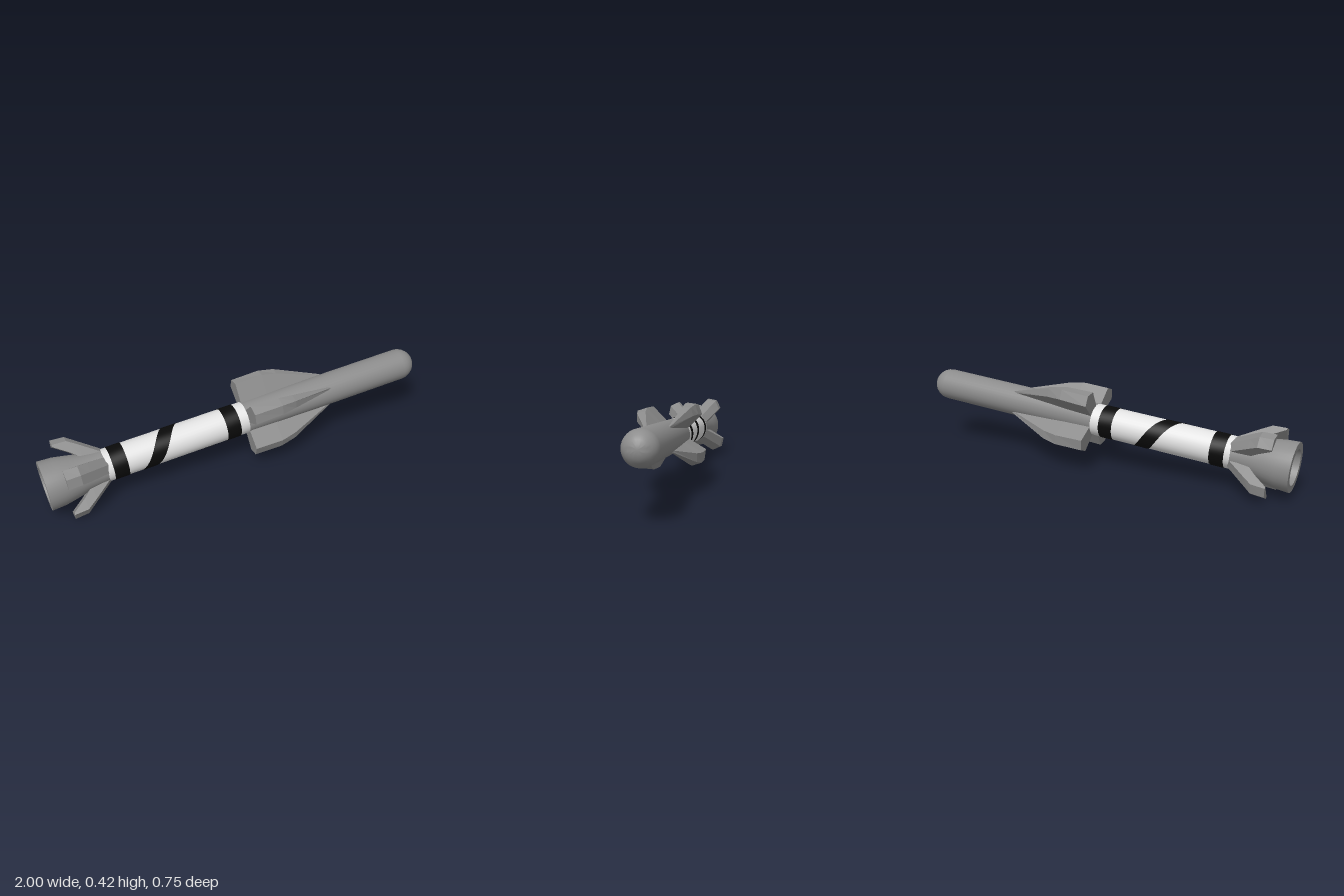
import * as THREE from 'three';
import { toCreasedNormals } from 'three/addons/utils/BufferGeometryUtils.js';
import { ParametricGeometry } from 'three/addons/geometries/ParametricGeometry.js';

const BODY_R = 0.082;

const makeMaterial = (name, color, extra = {}) => {
  const m = new THREE.MeshStandardMaterial({ color, ...extra });
  m.name = name;
  return m;
};

// Turned part along +X; profile is a list of [distance along axis, radius]
function turned(profile, segments = 32) {
  const g = new THREE.LatheGeometry(profile.map(([s, r]) => new THREE.Vector2(r, s)), segments);
  g.rotateZ(-Math.PI / 2);
  return toCreasedNormals(g, 0.6);
}

// Ridged blade pointing to +Y, lofted along X.
// Station: [s, rootRadius, rootHalfWidth, shoulderRadius, shoulderHalfWidth, ridgeRadius]
function blade(stations) {
  const rings = stations.map(([s, ri, ti, rs, ts, rp]) =>
    [[ri, -ti], [rs, -ts], [rp, 0], [rs, ts], [ri, ti]].map(([y, z]) => [s, y, z]));
  const pos = [];
  const tri = (a, b, c) => pos.push(...a, ...b, ...c);
  const n = 5;
  for (let k = 0; k < rings.length - 1; k++) {
    const p = rings[k], q = rings[k + 1];
    for (let j = 0; j < n; j++) {
      const i = (j + 1) % n;
      tri(p[j], p[i], q[i]);
      tri(p[j], q[i], q[j]);
    }
  }
  // End caps
  const first = rings[0], last = rings[rings.length - 1];
  for (let j = 1; j < n - 1; j++) {
    tri(first[0], first[j + 1], first[j]);
    tri(last[0], last[j], last[j + 1]);
  }
  const g = new THREE.BufferGeometry();
  g.setAttribute('position', new THREE.Float32BufferAttribute(pos, 3));
  g.computeVertexNormals();
  return g;
}

export function createModel() {
  const grey = makeMaterial('grey metal', 0x8c8c8c);
  const white = makeMaterial('white paint', 0xe2e2e2);
  const black = makeMaterial('black paint', 0x0a0a0a, { side: THREE.DoubleSide });

  const missile = new THREE.Group();
  missile.name = 'missile';
  const add = (name, geometry, material, parent = missile) => {
    const mesh = new THREE.Mesh(geometry, material);
    mesh.name = name;
    parent.add(mesh);
    return mesh;
  };

  // Forward body with rounded nose
  const nose = [[1.05, 0], [1.05, BODY_R], [1.963, BODY_R]];
  for (let i = 1; i <= 6; i++) {
    const a = (i / 6) * Math.PI / 2;
    nose.push([1.963 + BODY_R * Math.sin(a), BODY_R * Math.cos(a)]);
  }
  add('forwardBody', turned(nose), grey);

  // White rear tube
  add('rearBody', turned([[0.295, BODY_R], [1.05, BODY_R]]), white);

  // Flared tail with hollow nozzle
  add('tailFlare', turned([
    [0.13, 0], [0.13, 0.045], [0.09, 0.05], [0.09, 0.065], [0.05, 0.07], [0.05, 0.085],
    [0, 0.09], [0, 0.124], [0.07, 0.12], [0.13, 0.109], [0.2, 0.094], [0.26, 0.086], [0.3, 0.084], [0.3, 0.08],
  ]), grey);

  // Painted rings
  for (const [name, s] of [['rearRing', 0.367], ['frontRing', 0.965]]) {
    const r = BODY_R + 0.002;
    add(name, turned([[s - 0.037, r], [s + 0.037, r]]), black);
  }

  // Painted spiral stripe
  const spiral = new ParametricGeometry((u, v, target) => {
    const deg = -48 + u * 350;
    const a = THREE.MathUtils.degToRad(deg);
    const r = BODY_R + 0.002;
    const s = 0.506 + 0.000936 * (deg + 45) + (v - 0.5) * 0.08;
    target.set(s, r * Math.sin(a), r * Math.cos(a));
  }, 64, 2);
  add('spiralStripe', spiral, black);

  // Four mid wings and four swept tail fins
  const wing = blade([
    [1.05, 0.06, 0.032, 0.172, 0.047, 0.2],
    [1.2, 0.06, 0.026, 0.175, 0.042, 0.203],
    [1.28, 0.06, 0.02, 0.16, 0.033, 0.187],
    [1.52, 0.06, 0.004, 0.076, 0.006, 0.084],
  ]);
  const fin = blade([
    [0.09, 0.165, 0.045, 0.176, 0.046, 0.199],
    [0.16, 0.115, 0.045, 0.172, 0.046, 0.194],
    [0.21, 0.07, 0.044, 0.138, 0.045, 0.157],
    [0.31, 0.05, 0.04, 0.066, 0.04, 0.084],
  ]);
  for (let i = 0; i < 4; i++) {
    const roll = THREE.MathUtils.degToRad(-38 + i * 90);
    add('wing' + (i + 1), wing, grey).rotation.x = roll;
    add('tailFin' + (i + 1), fin, grey).rotation.x = roll;
  }

  // Tilt the whole body along its flight direction
  const d = new THREE.Vector3(1.885, 0.168, 0.53).normalize();
  const f = new THREE.Vector3().crossVectors(d, new THREE.Vector3(0, 1, 0)).normalize();
  const u = new THREE.Vector3().crossVectors(f, d);
  missile.quaternion.setFromRotationMatrix(new THREE.Matrix4().makeBasis(d, u, f));
  missile.position.set(-0.965, 0.162, -0.24);

  const model = new THREE.Group();
  model.name = 'model';
  model.add(missile);
  return model;
}
